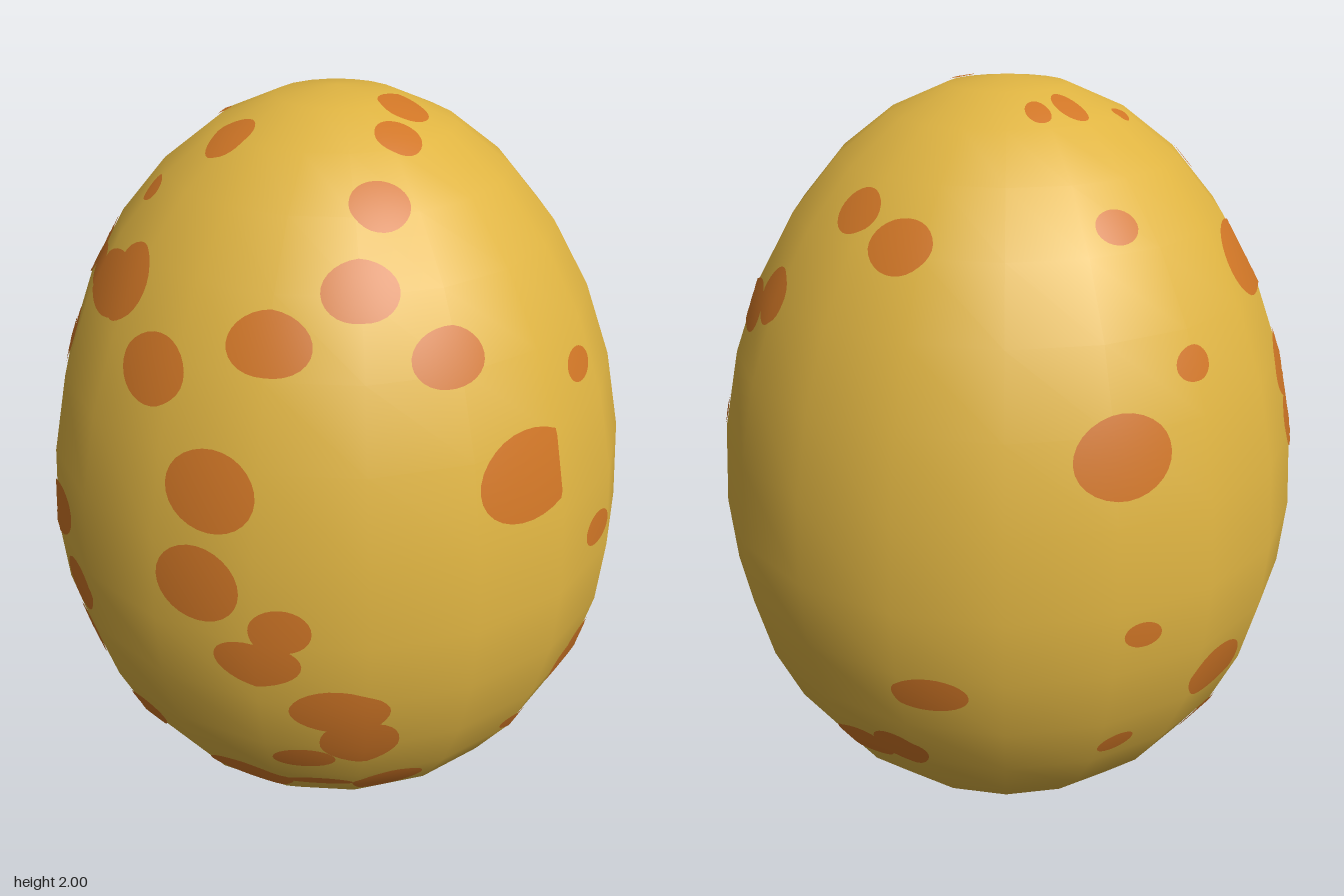
import * as THREE from 'three';
import { mergeGeometries } from 'three/addons/utils/BufferGeometryUtils.js';

const RADIUS = 0.766, WAIST = 0.9, TOP = 1.1, BOTTOM = 0.9;
const SIDES = 18, RINGS = 16;
const rad = THREE.MathUtils.degToRad;
const halfHeight = (y) => (y >= 0 ? TOP : BOTTOM);

// Smooth outward normal of the egg at a point
function eggNormal(p) {
  const y = p.y - WAIST, h = halfHeight(y);
  return new THREE.Vector3(p.x / RADIUS ** 2, y / h ** 2, p.z / RADIUS ** 2).normalize();
}

// How far a regular polygon's flat side lies from the centre at a given angle
function chord(angle, step) {
  const within = ((angle % step) + step) % step;
  return Math.cos(step / 2) / Math.cos(within - step / 2);
}

// Moves a point onto the faceted egg, then lifts it slightly off the surface
function ontoEgg(p, lift) {
  const x = p.x / RADIUS, z = p.z / RADIUS;
  const y = (p.y - WAIST) / halfHeight(p.y - WAIST);
  const around = Math.atan2(x, z);
  const side = chord(around, (Math.PI * 2) / SIDES);
  const down = Math.atan2(Math.hypot(x, z) / side, y);
  const r = chord(down, Math.PI / RINGS);
  const flat = RADIUS * r * Math.sin(down) * side;
  const up = r * Math.cos(down);
  p.set(flat * Math.sin(around), WAIST + up * halfHeight(up), flat * Math.cos(around));
  return p.addScaledVector(eggNormal(p), lift);
}

// Applies a rule to every vertex and gives it the egg's normal
function reshape(geometry, rule) {
  const pos = geometry.attributes.position, nor = geometry.attributes.normal;
  const p = new THREE.Vector3();
  for (let i = 0; i < pos.count; i++) {
    p.fromBufferAttribute(pos, i);
    rule(p);
    const n = eggNormal(p);
    pos.setXYZ(i, p.x, p.y, p.z);
    nor.setXYZ(i, n.x, n.y, n.z);
  }
  return geometry;
}

// One oval spot: angle around from the front, height, half width, half length, tilt
function spot([angle, height, wide, long, tilt = 0], cutAtCentre = false) {
  const a = rad(angle), h = halfHeight(height - WAIST);
  const c = (height - WAIST) / h, s = Math.sqrt(1 - c * c);
  const centre = new THREE.Vector3(RADIUS * s * Math.sin(a), height, RADIUS * s * Math.cos(a));
  const east = new THREE.Vector3(Math.cos(a), 0, -Math.sin(a));
  const north = new THREE.Vector3().crossVectors(eggNormal(centre), east);
  const ct = Math.cos(rad(tilt)), st = Math.sin(rad(tilt));
  return reshape(new THREE.RingGeometry(0.0001, 1, 28, 6), (p) => {
    const u = p.x * wide, v = p.y * long;
    p.copy(centre).addScaledVector(east, u * ct - v * st).addScaledVector(north, u * st + v * ct);
    if (cutAtCentre) p.x = Math.min(p.x, 0);
    ontoEgg(p, 0.004);
  });
}

const frontSpots = [
  [16, 1.97, 0.06, 0.065], [-13, 1.935, 0.055, 0.06], [-32, 1.835, 0.07, 0.065],
  [-40, 1.69, 0.088, 0.072], [-22, 1.55, 0.09, 0.07], [14, 1.43, 0.053, 0.042],
  [14.6, 0.99, 0.063, 0.045], [21, 0.593, 0.1, 0.07], [14, 0.55, 0.08, 0.062],
  [0, 0.44, 0.05, 0.033], [10, 0.222, 0.048, 0.045], [-32.5, 0.335, 0.095, 0.075],
  [-50, 0.34, 0.09, 0.03], [0, 0.045, 0.03, 0.06], [24, 0.045, 0.03, 0.065],
];
const leftSpots = [
  [76, 1.525, 0.08, 0.075], [64.5, 1.465, 0.078, 0.068], [54, 1.165, 0.095, 0.075],
  [66, 0.236, 0.08, 0.062], [84, 0.205, 0.06, 0.05], [96, 1.75, 0.065, 0.062],
  [113.5, 1.7, 0.082, 0.07], [126, 0.67, 0.097, 0.055], [116, 0.43, 0.08, 0.063],
  [104.5, 0.39, 0.09, 0.063],
];
const backSpots = [
  [162, 1.275, 0.125, 0.1], [165.5, 0.825, 0.055, 0.035, -15], [164.5, 0.46, 0.052, 0.035],
  [180, 1.44, 0.052, 0.042], [170, 1.735, 0.055, 0.045], [180, 1.95, 0.035, 0.06],
  [158, 1.947, 0.03, 0.045], [188, 0.6, 0.115, 0.08, -12], [199, 0.36, 0.09, 0.065],
  [207, 0.13, 0.085, 0.07], [219, 0.265, 0.085, 0.068], [190, 0.075, 0.075, 0.07],
  [163, 0.035, 0.075, 0.07], [211, 1.92, 0.025, 0.025], [215.5, 1.59, 0.116, 0.1],
  [233, 1.59, 0.11, 0.045], [224, 1.3, 0.13, 0.1], [225, 1.155, 0.13, 0.105],
  [232, 1.41, 0.07, 0.062], [235, 0.855, 0.07, 0.05],
];
const rightSpots = [
  [239.5, 1.787, 0.036, 0.036], [256, 1.918, 0.058, 0.07], [249, 1.6, 0.12, 0.08],
  [256, 1.625, 0.085, 0.1], [241.5, 0.96, 0.13, 0.075, 18], [252, 0.8, 0.12, 0.07, 18],
  [248, 0.61, 0.115, 0.068, 18], [238.5, 0.36, 0.105, 0.075], [262, 0.43, 0.1, 0.065, 15],
  [-86, 1.49, 0.1, 0.085], [-60, 1.587, 0.1, 0.075], [-69, 1.265, 0.115, 0.1],
  [-71, 1.03, 0.11, 0.1], [-55.5, 0.94, 0.075, 0.06], [-60, 0.84, 0.11, 0.065],
  [-45, 0.69, 0.125, 0.078], [-41, 0.57, 0.1, 0.09], [-52.5, 0.487, 0.08, 0.05],
  [-68, 0.33, 0.12, 0.08],
];

export function createModel() {
  const group = new THREE.Group();
  group.name = 'spottedEgg';

  const gold = new THREE.MeshStandardMaterial({ color: 0xdfb442 });
  gold.name = 'golden shell';
  const orange = new THREE.MeshStandardMaterial({ color: 0xd07626 });
  orange.name = 'orange spots';

  // Shell: a sphere stretched more above the waist than below
  const sphere = new THREE.SphereGeometry(1, SIDES, RINGS).rotateY(Math.PI / 2);
  const shell = new THREE.Mesh(reshape(sphere, (p) => {
    const y = Math.abs(p.y) < 1e-6 ? 0 : p.y;
    p.set(p.x * RADIUS, WAIST + y * halfHeight(y), p.z * RADIUS);
  }), gold);
  shell.name = 'shell';
  group.add(shell);

  // Spots: thin patches that follow the shell
  const sets = { frontSpots, leftSpots, backSpots, rightSpots };
  for (const [name, list] of Object.entries(sets)) {
    const patches = new THREE.Mesh(mergeGeometries(list.map((s) => spot(s))), orange);
    patches.name = name;
    group.add(patches);
  }

  // Large front spot with a straight edge on the centre line
  const cutSpot = new THREE.Mesh(spot([-7.6, 1.254, 0.15, 0.112], true), orange);
  cutSpot.name = 'cutFrontSpot';
  group.add(cutSpot);

  return group;
}
